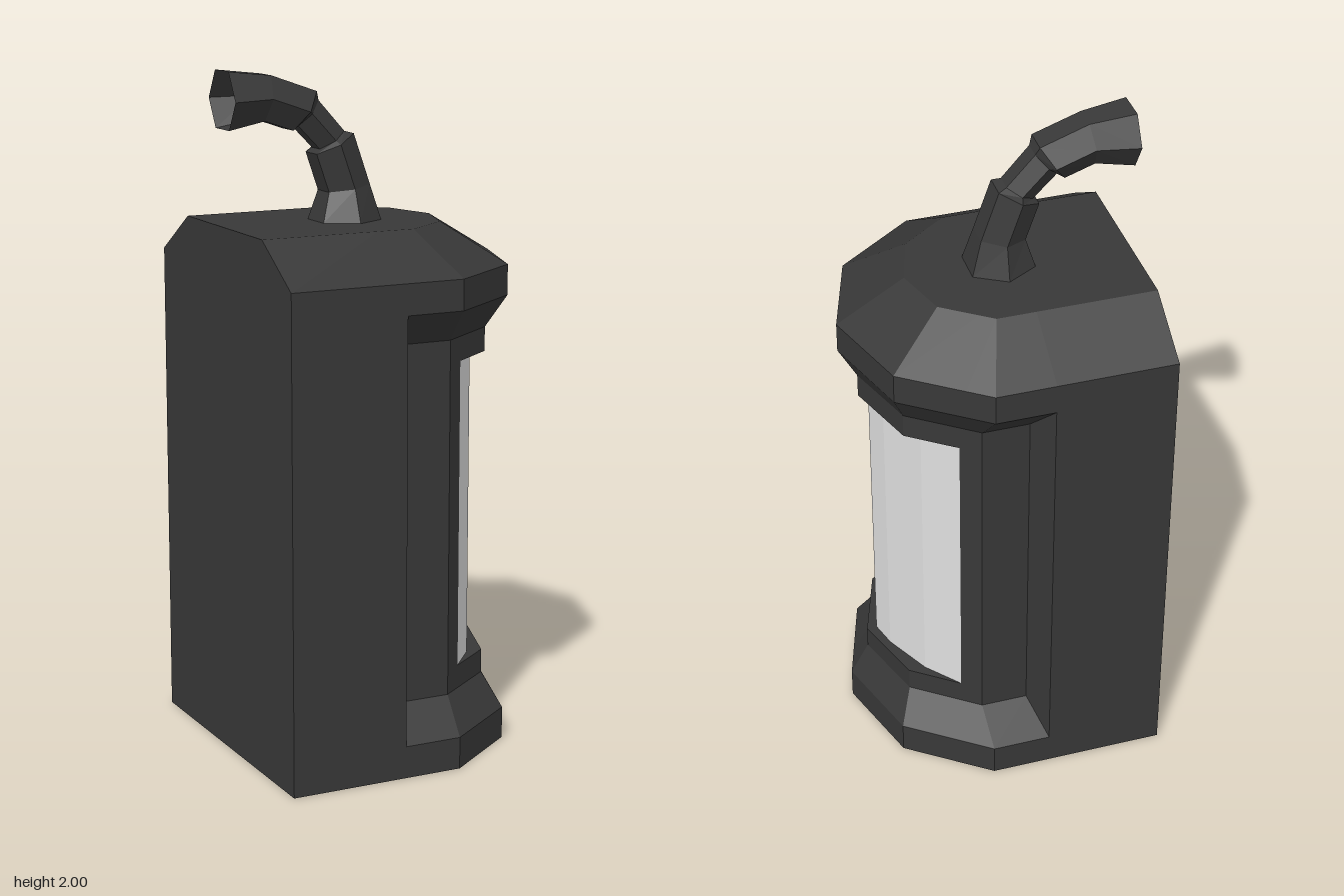
import * as THREE from 'three';

const casing = new THREE.MeshStandardMaterial({ color: 0x383838, side: THREE.DoubleSide });
casing.name = 'dark casing';
const pane = new THREE.MeshStandardMaterial({ color: 0xe0e0e0 });
pane.name = 'pale glass';

// Faceted mesh from triangles given as a flat list of points
function facetMesh(name, points, material) {
  const geometry = new THREE.BufferGeometry().setFromPoints(points);
  geometry.computeVertexNormals();
  const mesh = new THREE.Mesh(geometry, material);
  mesh.name = name;
  return mesh;
}

const quad = (out, a, b, c, d) => out.push(a, b, c, a, c, d);

function fan(out, ring, up) {
  for (let i = 1; i < ring.length - 1; i++) {
    if (up) out.push(ring[0], ring[i], ring[i + 1]);
    else out.push(ring[0], ring[i + 1], ring[i]);
  }
}

const mix = (a, b, t) => [a[0] + (b[0] - a[0]) * t, a[1] + (b[1] - a[1]) * t];

// Half plan outline: rear corner, groove edge, groove floor, side corner,
// pane edge, front corner, front middle point, nose
function outline(rear, edge, floor, c, d, e) {
  return [rear, edge, floor, c, mix(c, d, 0.286), d, mix(d, e, 0.64), e];
}

// Mirror a half outline across z and lift it to height y
function planRing(half, y) {
  const mirrored = half.slice(0, -1).reverse().map(([x, z]) => [x, -z]);
  return [...half, ...mirrored].map(([x, z]) => new THREE.Vector3(x, y, z));
}

function buildBody(group) {
  const rear = [-0.43, 0.455], edge = [-0.075, 0.455];
  const outer = outline(rear, edge, edge, [0.1, 0.455], [0.34, 0.28], [0.43, 0]);
  const inset = outline(rear, edge, [-0.03, 0.36], [0.11, 0.36], [0.3, 0.22], [0.375, 0]);
  const recess = [...inset.slice(0, 5), [0.25, 0.22], [0.322, 0.08], [0.345, 0]];
  const top = outline([-0.43, 0.265], [-0.075, 0.265], [-0.075, 0.265],
    [0.04, 0.265], [0.18, 0.163], [0.23, 0]);

  const rings = [
    [outer, 0], [outer, 0.095], [inset, 0.195], [inset, 0.265], [recess, 0.265],
    [recess, 1.178], [inset, 1.178], [inset, 1.25], [outer, 1.35], [outer, 1.44], [top, 1.56],
  ].map(([half, y]) => planRing(half, y));

  const shell = [], glass = [];
  const n = rings[0].length;
  for (let r = 0; r < rings.length - 1; r++) {
    for (let i = 0; i < n; i++) {
      const j = (i + 1) % n;
      // the pane fills the recessed band between the two pane edges
      const isPane = r === 4 && i >= 4 && i < n - 5;
      quad(isPane ? glass : shell, rings[r][i], rings[r][j], rings[r + 1][j], rings[r + 1][i]);
    }
  }
  fan(shell, rings[0], false);
  fan(shell, rings[rings.length - 1], true);
  group.add(facetMesh('lanternCasing', shell, casing), facetMesh('glassPane', glass, pane));
}

// Hexagonal curved arm: centre x, y, direction in degrees, radius
function buildArm(group) {
  const rings = [
    [-0.048, 1.56, 90, 0.107],
    [-0.05, 1.655, 98, 0.076],
    [-0.095, 1.785, 115, 0.075],
    [-0.1, 1.795, 122, 0.053],
    [-0.175, 1.875, 138, 0.055],
    [-0.19, 1.883, 146, 0.076],
    [-0.305, 1.923, 171, 0.075],
    [-0.43, 1.92, 180, 0.095],
  ].map(([x, y, deg, radius]) => {
    const t = THREE.MathUtils.degToRad(deg);
    return Array.from({ length: 6 }, (_, k) => {
      const a = Math.PI / 2 + k * Math.PI / 3;
      const u = radius * Math.cos(a);
      return new THREE.Vector3(x + u * Math.sin(t), y - u * Math.cos(t), -radius * Math.sin(a));
    });
  });
  const faces = [];
  for (let r = 0; r < rings.length - 1; r++) {
    for (let i = 0; i < 6; i++) {
      const j = (i + 1) % 6;
      quad(faces, rings[r][i], rings[r][j], rings[r + 1][j], rings[r + 1][i]);
    }
  }
  group.add(facetMesh('curvedArm', faces, casing));
}

export function createModel() {
  const group = new THREE.Group();
  group.name = 'wallLantern';
  buildBody(group);
  buildArm(group);
  return group;
}
